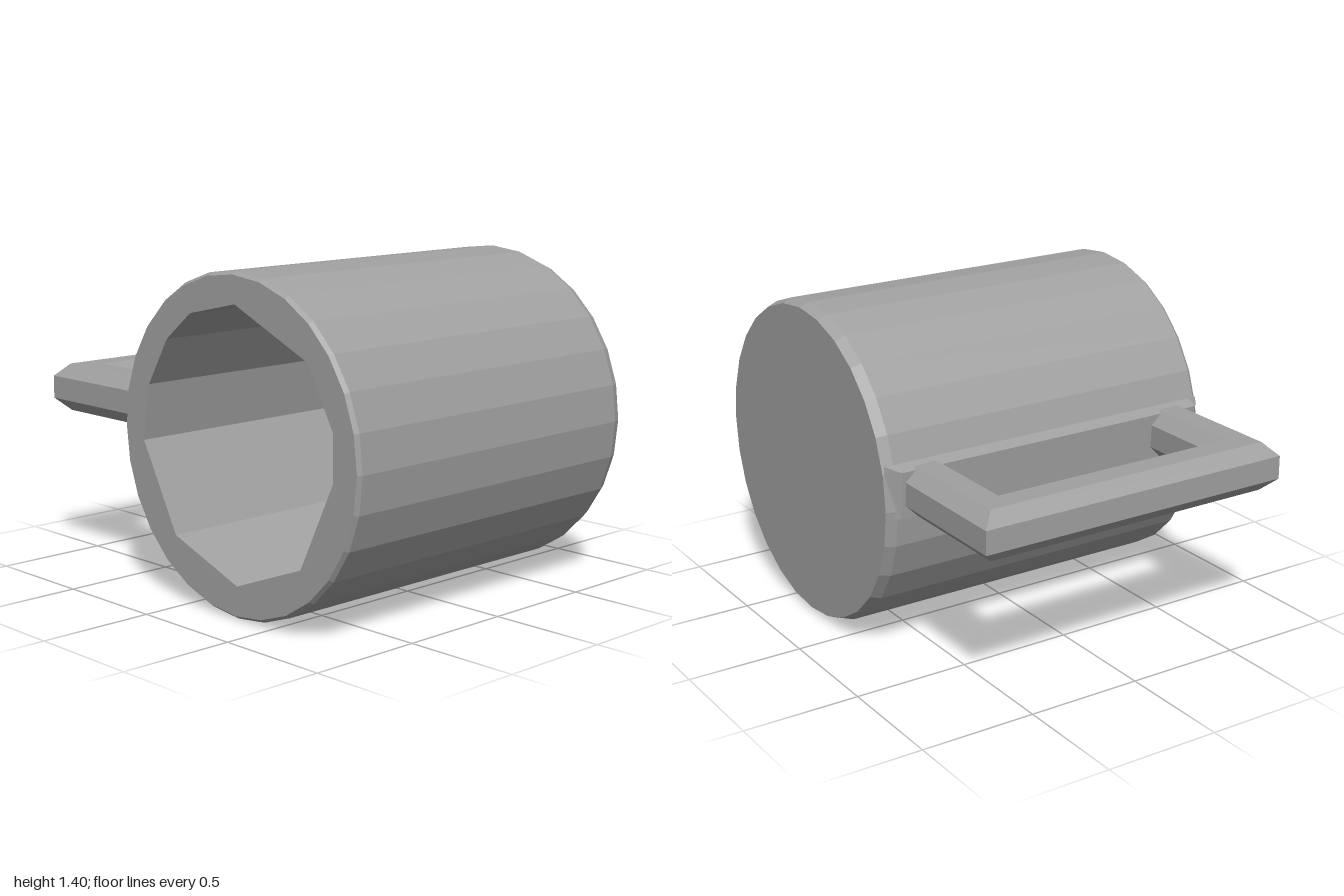
import * as THREE from 'three';

const CX = 0.3, CY = 0.7, SIDES = 28;

// Flat-faceted skin between consecutive rings (counter-clockwise about the travel direction)
function loft(rings) {
  const pos = [];
  for (let r = 0; r < rings.length - 1; r++) {
    const a = rings[r], b = rings[r + 1], n = a.length;
    for (let i = 0; i < n; i++) {
      const j = (i + 1) % n;
      for (const p of [a[i], a[j], b[j], a[i], b[j], b[i]]) pos.push(...p);
    }
  }
  const g = new THREE.BufferGeometry();
  g.setAttribute('position', new THREE.Float32BufferAttribute(pos, 3));
  g.computeVertexNormals();
  return g;
}

function circleRing(radius, z) {
  return Array.from({ length: SIDES }, (_, i) => {
    const a = (i / SIDES) * Math.PI * 2;
    return [CX + radius * Math.cos(a), CY + radius * Math.sin(a), z];
  });
}

const toShape = (pts) => new THREE.Shape(pts.map((p) => new THREE.Vector2(p[0], p[1])));

export function createModel() {
  const group = new THREE.Group();
  const grey = new THREE.MeshStandardMaterial({ color: 0xa0a0a0, flatShading: true });
  grey.name = 'grey';
  const add = (name, geometry) => {
    const mesh = new THREE.Mesh(geometry, grey);
    mesh.name = name;
    group.add(mesh);
    return mesh;
  };

  // Mug lying on its side: outer wall with chamfered ends
  const rimRing = circleRing(0.685, 0.785);
  add('outerWall', loft([circleRing(0.68, -0.785), circleRing(0.698, -0.74), circleRing(0.698, 0.768), rimRing]));

  // Closed bottom, facing -z
  const base = add('base', new THREE.CircleGeometry(0.68, SIDES));
  base.rotation.y = Math.PI;
  base.position.set(CX, CY, -0.785);

  // Irregular angular opening, listed clockwise so its wall faces inward
  const mouth = [[0.31, 1.27], [0.72, 1.09], [0.86, 0.84], [0.86, 0.65], [0.68, 0.28], [0.31, 0.14],
    [-0.07, 0.28], [-0.27, 0.65], [-0.23, 0.89], [-0.11, 1.09], [0.04, 1.21]];
  const floorZ = -0.62;
  add('innerWall', loft([floorZ, 0.785].map((z) => mouth.map(([x, y]) => [x, y, z]))));
  add('innerFloor', new THREE.ShapeGeometry(toShape(mouth))).position.z = floorZ;

  // Rim between the outer edge and the opening
  const rim = toShape(rimRing);
  rim.holes.push(toShape(mouth));
  add('rim', new THREE.ShapeGeometry(rim)).position.z = 0.785;

  // Raised strip on the side where the handle is attached
  const strip = [[-0.3, 0.67], [-0.3, 0.89], [-0.37, 0.89], [-0.42, 0.87], [-0.41, 0.67]];
  const stripRing = (z, limit) => strip.map(([x, y]) => [Math.max(x, limit), y, z]);
  add('handleStrip', loft([stripRing(-0.78, -0.365), stripRing(-0.73, -1), stripRing(0.74, -1), stripRing(0.78, -0.375)]));

  // Square handle: one chamfered section swept round two mitred corners
  const h = 0.105, c = 0.05;
  const section = [[h, -c], [h, c], [c, h], [-c, h], [-h, c], [-h, -c], [-c, -h], [c, -h]];
  const handleRing = (x, z, mitre) =>
    section.map(([u, v]) => [x - u * mitre, 0.775 + v, z + u * Math.sign(z)]);
  add('handle', loft([
    handleRing(-0.37, 0.613, 0), handleRing(-0.893, 0.613, 1),
    handleRing(-0.893, -0.607, 1), handleRing(-0.37, -0.607, 0),
  ]));

  return group;
}
